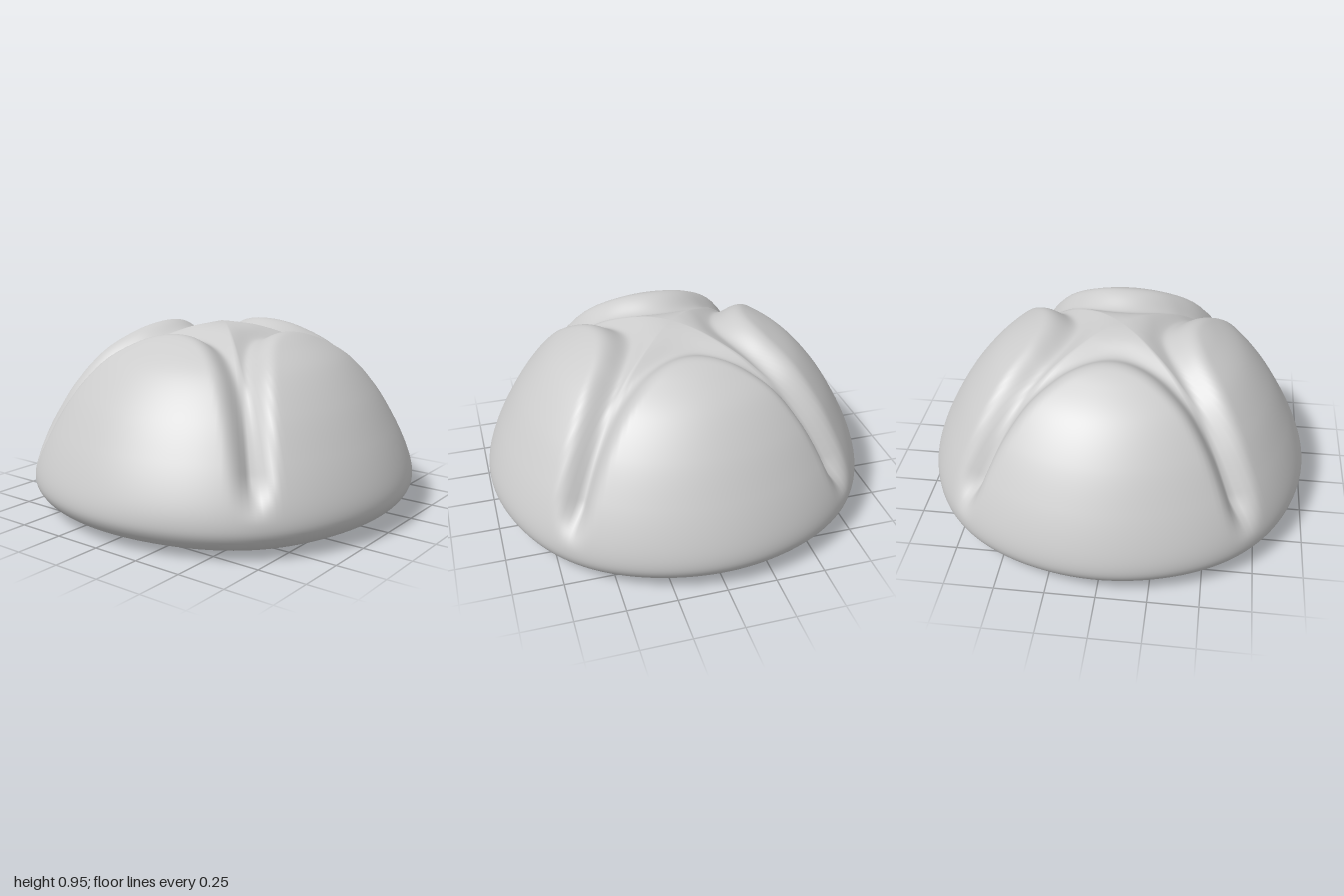
import * as THREE from 'three';
import { mergeVertices } from 'three/addons/utils/BufferGeometryUtils.js';

const { smoothstep } = THREE.MathUtils;

// Depth of the cross-shaped cut at a point of the dome
function cutDepth(x, y, z) {
  const p = Math.max(Math.abs(x), Math.abs(z));
  const q = Math.min(Math.abs(x), Math.abs(z));
  const s = p - Math.sqrt(0.27 * 0.27 + 0.86 * q * q); // > 0 on a lobe, < 0 in the cut
  const depth = 0.04 + 0.055 * Math.exp(-((s / 0.13) ** 2)); // crown rises at the centre
  const wall = 1 - smoothstep(s, -0.04, 0.14);
  return depth * wall * smoothstep(y, 0.2, 0.42);
}

export function createModel() {
  const group = new THREE.Group();
  group.name = 'bun';

  // Half profile from the underside centre round to the crown
  const profile = new THREE.SplineCurve([
    [0, 0.02], [0.3, 0.017], [0.6, 0.013], [0.8, 0.025], [0.92, 0.06], [0.985, 0.12],
    [1, 0.19], [0.97, 0.3], [0.9, 0.45], [0.79, 0.63], [0.65, 0.79], [0.5, 0.89],
    [0.37, 0.945], [0.2, 0.985], [0.08, 0.998], [0, 1],
  ].map(([r, y]) => new THREE.Vector2(r, y)));
  const points = profile.getSpacedPoints(170);
  points[0].x = points[points.length - 1].x = 0;

  let geometry = new THREE.LatheGeometry(points, 200);
  const pos = geometry.attributes.position;
  const nor = geometry.attributes.normal;
  const v = new THREE.Vector3();
  const n = new THREE.Vector3();
  for (let i = 0; i < pos.count; i++) {
    v.fromBufferAttribute(pos, i);
    n.fromBufferAttribute(nor, i);
    const r = Math.hypot(v.x, v.z);
    if (r < 1e-4) n.set(0, Math.sign(v.y - 0.5), 0);
    // Slightly fuller and lower at the diagonals
    const diagonal = r > 1e-4 ? (2 * v.x * v.z / (r * r)) ** 2 : 0;
    const spread = 1 + 0.015 * diagonal * diagonal;
    const sag = 0.012 * diagonal * r * r * (1 - smoothstep(v.y, 0, 0.3));
    const depth = cutDepth(v.x, v.y, v.z);
    v.x *= spread;
    v.z *= spread;
    v.y -= sag;
    v.addScaledVector(n, -depth);
    pos.setXYZ(i, v.x, v.y, v.z);
  }

  // Weld the seam so the shading is smooth all round
  geometry.deleteAttribute('normal');
  geometry.deleteAttribute('uv');
  geometry = mergeVertices(geometry, 1e-5);
  geometry.computeVertexNormals();

  const body = new THREE.Mesh(geometry, new THREE.MeshStandardMaterial({ color: 0xcccccc }));
  body.name = 'crossCutBody';
  group.add(body);
  return group;
}
